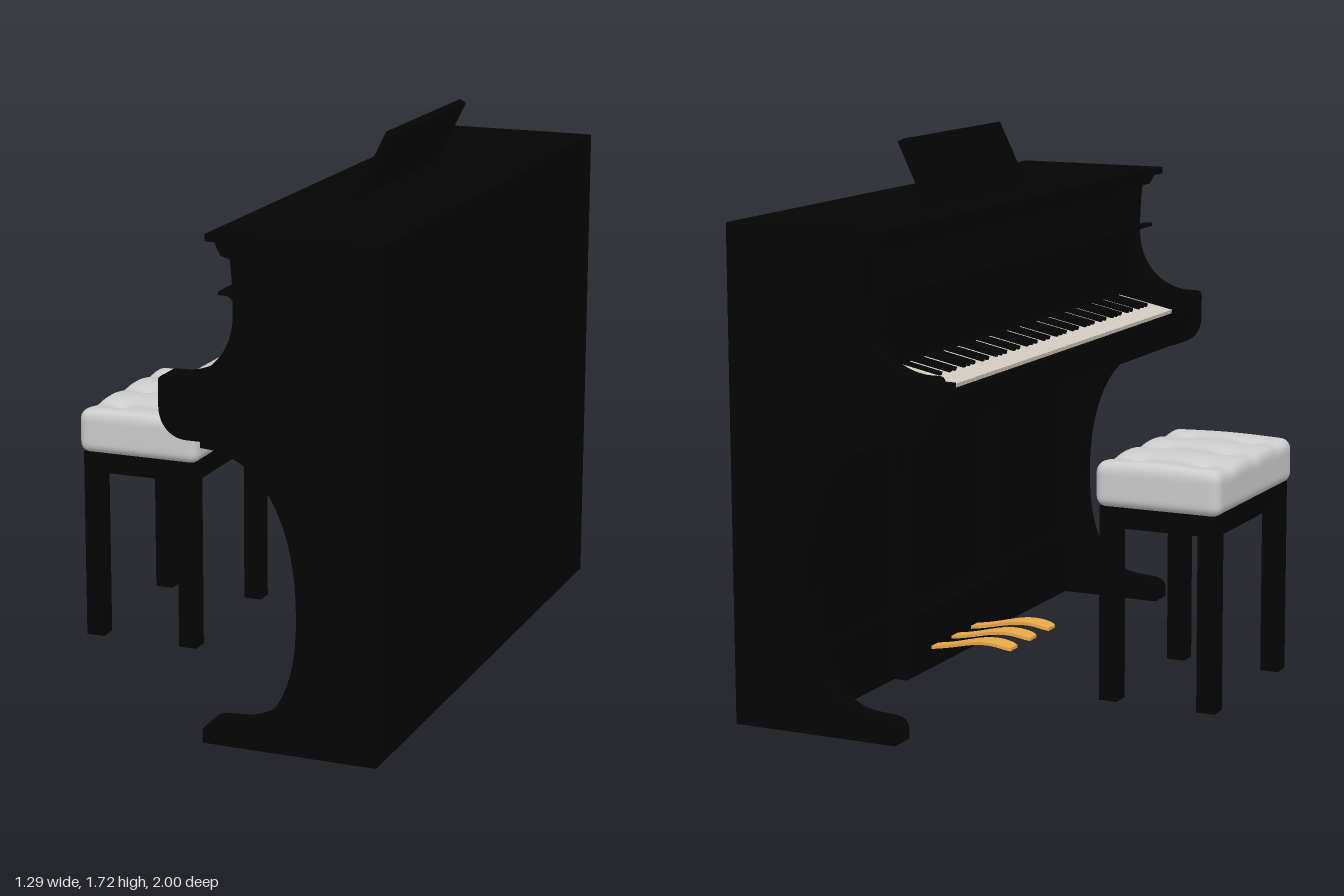
import * as THREE from 'three';
import { mergeVertices, toCreasedNormals } from 'three/addons/utils/BufferGeometryUtils.js';

const paint = (color) => new THREE.MeshStandardMaterial({ color });
const black = paint(0x040404);
const ivory = paint(0xd2cbc2);
const gold = paint(0xe8a848);
const grey = paint(0xcccccc);

function add(parent, name, geometry, material = black) {
  const mesh = new THREE.Mesh(geometry, material);
  mesh.name = name;
  parent.add(mesh);
  return mesh;
}

// Box given by its two corners
function box(parent, name, [x0, y0, z0], [x1, y1, z1], material) {
  const mesh = add(parent, name, new THREE.BoxGeometry(x1 - x0, y1 - y0, z1 - z0), material);
  mesh.position.set((x0 + x1) / 2, (y0 + y1) / 2, (z0 + z1) / 2);
  return mesh;
}

// Profile in x and y, drawn out from z0 to z1
function slab(parent, name, shape, z0, z1, material) {
  const geometry = new THREE.ExtrudeGeometry(shape, { depth: z1 - z0, bevelEnabled: false, curveSegments: 16 });
  geometry.translate(0, 0, z0);
  return add(parent, name, toCreasedNormals(geometry, 0.5), material);
}

const polygon = (points) => new THREE.Shape(points.map(([x, y]) => new THREE.Vector2(x, y)));

// Raised rectangular moulding on a panel facing -x
function panelFrame(parent, name, x, y0, y1, z0, z1) {
  const w = 0.022;
  box(parent, name, [x, y0, z0], [x + 0.03, y0 + w, z1]);
  box(parent, name, [x, y1 - w, z0], [x + 0.03, y1, z1]);
  box(parent, name, [x, y0, z0], [x + 0.03, y1, z0 + w]);
  box(parent, name, [x, y0, z1 - w], [x + 0.03, y1, z1]);
}

function createCase() {
  const g = new THREE.Group();
  g.name = 'pianoCase';
  const back = 0.644;

  // Scrolled end panels: toe, leg curve, arm and cheek
  const end = new THREE.Shape();
  end.moveTo(back, 0);
  end.lineTo(0.1, 0);
  end.lineTo(0.1, 0.035);
  end.quadraticCurveTo(0.105, 0.065, 0.15, 0.068);
  end.lineTo(0.2, 0.071);
  end.bezierCurveTo(0.33, 0.08, 0.396, 0.2, 0.396, 0.42);
  end.bezierCurveTo(0.396, 0.7, 0.295, 0.895, 0.1, 0.897);
  end.lineTo(0.1, 0.915);
  end.lineTo(0.06, 0.915);
  end.bezierCurveTo(0, 0.915, -0.03, 0.96, -0.03, 1.01);
  end.lineTo(-0.03, 1.08);
  end.quadraticCurveTo(-0.03, 1.1, -0.01, 1.1);
  end.lineTo(0.03, 1.1);
  end.bezierCurveTo(0.12, 1.11, 0.19, 1.17, 0.203, 1.27);
  end.quadraticCurveTo(0.208, 1.36, 0.195, 1.46);
  end.lineTo(0.195, 1.5);
  end.lineTo(back, 1.5);
  for (const z of [-1, 0.91]) slab(g, 'endPanel', end, z, z + 0.09);

  // Body between the ends, with key bed and key slip
  slab(g, 'body', polygon([
    [back, 0], [0.45, 0], [0.45, 0.915], [0.06, 0.915], [0.01, 0.93], [-0.02, 0.97], [-0.03, 1.01],
    [-0.03, 1.05], [-0.012, 1.05], [-0.012, 1.03], [0.2, 1.03], [0.23, 1.5], [back, 1.5],
  ]), -0.91, 0.91);

  // Lid and the cornice below it
  box(g, 'lid', [0.12, 1.5, -1], [back, 1.522, 1]);
  slab(g, 'cornice', polygon([
    [0.25, 1.5], [0.15, 1.5], [0.157, 1.482], [0.168, 1.463], [0.19, 1.456], [0.25, 1.456],
  ]), -1, 1);

  // Open fallboard with curled lip
  const fall = new THREE.Shape();
  fall.moveTo(0.12, 1.338);
  fall.lineTo(0.145, 1.338);
  fall.bezierCurveTo(0.18, 1.333, 0.196, 1.28, 0.196, 1.2);
  fall.lineTo(0.2, 1.03);
  fall.lineTo(0.185, 1.03);
  fall.lineTo(0.184, 1.2);
  fall.bezierCurveTo(0.184, 1.28, 0.17, 1.323, 0.145, 1.327);
  fall.lineTo(0.12, 1.327);
  slab(g, 'fallboard', fall, -0.91, 0.91);

  // Mouldings of the front panels
  panelFrame(g, 'upperPanelMoulding', 0.212, 1.36, 1.45, -0.8, 0.8);
  for (const [z0, z1] of [[-0.86, -0.34], [-0.28, 0.28], [0.34, 0.86]])
    panelFrame(g, 'lowerPanelMoulding', 0.435, 0.2, 0.86, z0, z1);

  // Sloping music desk
  slab(g, 'musicDesk', polygon([[0.302, 1.515], [0.328, 1.515], [0.423, 1.711], [0.403, 1.722]]), -0.352, 0.312);
  return g;
}

function createKeyboard() {
  const g = new THREE.Group();
  g.name = 'keyboard';
  const count = 52, start = -0.808, pitch = 1.588 / count;
  box(g, 'keyBlock', [-0.012, 1.03, -0.91], [0.19, 1.065, start - 0.003]);
  box(g, 'keyBlock', [-0.012, 1.03, 0.783], [0.19, 1.065, 0.91]);

  // Keys rise gently towards the fallboard
  const keys = new THREE.Group();
  keys.name = 'keys';
  keys.position.set(-0.01, 1.045, 0);
  keys.rotation.z = 0.2;
  g.add(keys);
  const whiteKey = new THREE.BoxGeometry(0.2, 0.035, pitch * 0.93);
  const blackKey = new THREE.BoxGeometry(0.13, 0.016, pitch * 0.48);
  for (let i = 0; i < count; i++) {
    const z = start + (i + 0.5) * pitch;
    add(keys, 'whiteKey', whiteKey, ivory).position.set(0.1, 0, z);
    // Sharps follow C, D, F, G and A; the lowest key is A
    if (i < count - 1 && [0, 1, 3, 4, 5].includes((i + 5) % 7))
      add(keys, 'blackKey', blackKey).position.set(0.135, 0.02, z + pitch / 2);
  }
  return g;
}

function createPedals() {
  const g = new THREE.Group();
  g.name = 'pedals';
  box(g, 'pedalBox', [0.405, 0, -0.36], [0.46, 0.2, 0.32]);

  // Bowed tongue, slightly wider towards the tip
  const tongue = new THREE.BoxGeometry(1, 0.01, 1, 20, 1, 4);
  const p = tongue.attributes.position;
  for (let i = 0; i < p.count; i++) {
    const t = p.getX(i) + 0.5;
    const tip = 1 - Math.pow(Math.max(0, 1 - t / 0.1), 2) * 0.3;
    const width = (0.048 + 0.022 * (1 - THREE.MathUtils.smoothstep(t, 0.2, 0.8))) * tip;
    p.setXYZ(i, 0.12 + 0.31 * t, p.getY(i) + 0.093 + 0.022 * Math.sin(t * 4.2) * (1 - t) - 0.028 * t * t, p.getZ(i) * width);
  }
  tongue.computeVertexNormals();
  for (const z of [-0.17, -0.03, 0.11]) add(g, 'pedal', tongue, gold).position.z = z;
  return g;
}

function createBench() {
  const g = new THREE.Group();
  g.name = 'bench';
  g.position.set(-0.438, 0, -0.019);
  const hx = 0.193, hz = 0.295, w = 0.06;

  // Legs and rails
  for (const sx of [-1, 1]) {
    for (const sz of [-1, 1])
      add(g, 'benchLeg', new THREE.BoxGeometry(w, 0.615, w)).position.set(sx * (hx - w / 2), 0.3125, sz * (hz - w / 2));
    add(g, 'benchSideRail', new THREE.BoxGeometry(0.04, 0.065, 2 * hz - w)).position.set(sx * (hx - 0.022), 0.588, 0);
    add(g, 'benchEndRail', new THREE.BoxGeometry(2 * hx - w, 0.065, 0.04)).position.set(0, 0.588, sx * (hz - 0.022));
  }

  // Cushion: rounded block, puffed between rows of buttons, dimpled at each button
  const half = new THREE.Vector3(0.207, 0.067, 0.31), radius = 0.032;
  const rows = [-0.195, 0, 0.195];
  const buttons = [-0.104, 0.104].flatMap((x) => rows.map((z) => [x, z]));
  const bump = (d, width) => Math.exp(-((d / width) ** 2));
  const rise = (x, z) => {
    let y = 0.018 * (1 - 0.5 * (x / half.x) ** 2) * (1 - 0.3 * (z / half.z) ** 2);
    for (const row of rows) y -= 0.009 * bump(z - row, 0.045);
    for (const [bx, bz] of buttons) {
      const d = Math.hypot(x - bx, z - bz);
      y -= 0.012 * bump(d, 0.045) + 0.008 * bump(d, 0.016);
    }
    return y;
  };
  let cushion = new THREE.BoxGeometry(half.x * 2, half.y * 2, half.z * 2, 44, 14, 64);
  cushion.deleteAttribute('uv');
  cushion.deleteAttribute('normal');
  cushion = mergeVertices(cushion);
  const p = cushion.attributes.position;
  const inner = half.clone().subScalar(radius), outer = inner.clone().negate();
  const v = new THREE.Vector3(), core = new THREE.Vector3();
  for (let i = 0; i < p.count; i++) {
    v.fromBufferAttribute(p, i);
    core.copy(v).clamp(outer, inner);
    v.sub(core).setLength(radius).add(core);
    v.y += THREE.MathUtils.smoothstep(v.y, 0, half.y) * rise(v.x, v.z);
    p.setXYZ(i, v.x, v.y, v.z);
  }
  cushion.computeVertexNormals();
  add(g, 'cushion', cushion, grey).position.y = 0.685;

  // Upholstery buttons
  const button = new THREE.SphereGeometry(0.015, 16, 10);
  for (const [x, z] of buttons) {
    const mesh = add(g, 'cushionButton', button, grey);
    mesh.position.set(x, 0.754 + rise(x, z), z);
    mesh.scale.y = 0.5;
  }
  return g;
}

export function createModel() {
  const model = new THREE.Group();
  model.name = 'uprightPianoWithBench';
  model.add(createCase(), createKeyboard(), createPedals(), createBench());
  return model;
}
